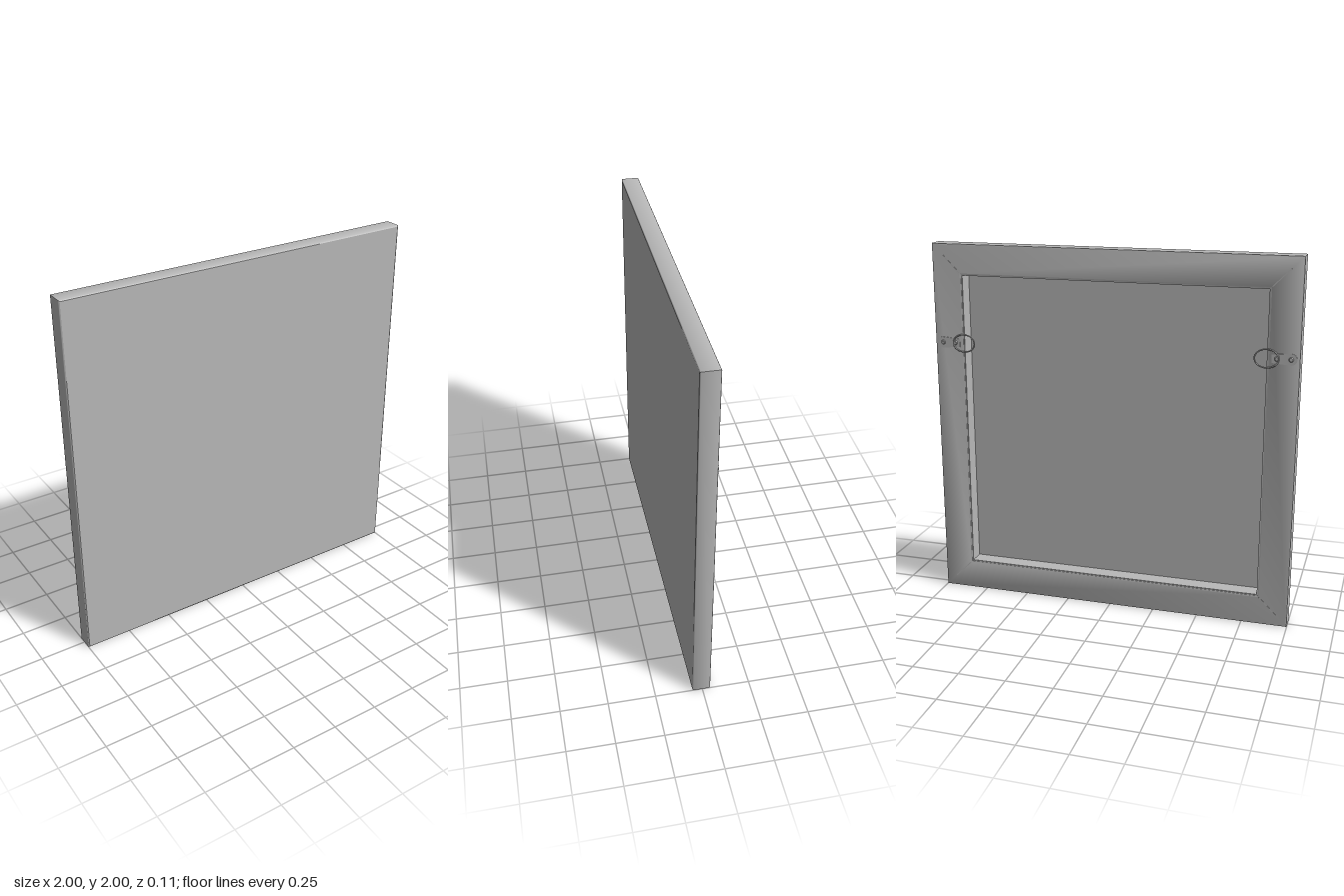
import * as THREE from 'three';
import { toCreasedNormals } from 'three/addons/utils/BufferGeometryUtils.js';

const BACK = -0.043;

// Sweep a (inset, z) profile around the square, with mitred corners
function mitredRing(profile) {
  const corners = [[1, 1], [-1, 1], [-1, -1], [1, -1]];
  const positions = [];
  const point = (c, [inset, z]) => [c[0] * (1 - inset), 1 + c[1] * (1 - inset), z];
  for (let k = 0; k < 4; k++) {
    const a = corners[k], b = corners[(k + 1) % 4];
    for (let i = 0; i < profile.length - 1; i++) {
      const p = profile[i], q = profile[i + 1];
      positions.push(...point(a, p), ...point(b, p), ...point(b, q));
      positions.push(...point(a, p), ...point(b, q), ...point(a, q));
    }
  }
  const geometry = new THREE.BufferGeometry();
  geometry.setAttribute('position', new THREE.Float32BufferAttribute(positions, 3));
  return toCreasedNormals(geometry, 0.6);
}

export function createModel() {
  const model = new THREE.Group();
  const grey = new THREE.MeshStandardMaterial({ color: 0xb9b9b9 });
  grey.name = 'plain grey';

  const add = (parent, name, geometry, x = 0, y = 0, z = 0) => {
    const mesh = new THREE.Mesh(geometry, grey);
    mesh.name = name;
    mesh.position.set(x, y, z);
    parent.add(mesh);
    return mesh;
  };

  // Stretcher bars with the cloth wrapped round their outer edges
  add(model, 'wrappedFrame', mitredRing([
    [0.17, 0.05], [0.17, -0.037], [0.164, -0.037], [0.164, -0.04], [0.158, BACK],
    [0.006, BACK], [0.002, -0.041], [0, -0.037],
    [0, 0.048], [0.002, 0.051], [0.006, 0.053],
  ]));

  // Stretched front cloth, also seen through the open back
  add(model, 'canvas', new THREE.BoxGeometry(1.988, 1.988, 0.004), 0, 1, 0.051);

  // Folded cloth seams along the mitres
  for (const sx of [-1, 1]) for (const sy of [-1, 1]) {
    const fold = add(model, 'cornerFold', new THREE.BoxGeometry(0.13, 0.005, 0.004),
      sx * 0.89, 1 + sy * 0.89, BACK);
    fold.rotation.z = sx * sy * Math.PI / 4;
  }

  // Hanger strap outline: wide at the ring end, rounded at the other
  const strap = new THREE.Shape();
  strap.moveTo(-0.055, -0.022);
  strap.lineTo(0.04, -0.03);
  strap.absarc(0.045, 0, 0.03, -Math.PI / 2, Math.PI / 2, false);
  strap.lineTo(-0.055, 0.022);
  strap.closePath();
  const strapGeometry = new THREE.ExtrudeGeometry(strap, { depth: 0.004, bevelEnabled: false, curveSegments: 10 });

  // Oval wire ring
  const ringPoints = [];
  for (let i = 0; i < 24; i++) {
    const t = i / 24 * Math.PI * 2;
    ringPoints.push(new THREE.Vector3(0.062 * Math.cos(t), 0.048 * Math.sin(t), 0));
  }
  const ringGeometry = new THREE.TubeGeometry(new THREE.CatmullRomCurve3(ringPoints, true), 48, 0.004, 8, true);

  const screwGeometry = new THREE.CylinderGeometry(0.009, 0.013, 0.004, 16).rotateX(-Math.PI / 2);

  // Two hangers on the side bars
  for (const [side, y] of [[1, 1.46], [-1, 1.48]]) {
    const hanger = new THREE.Group();
    hanger.name = side > 0 ? 'leftHanger' : 'rightHanger';
    hanger.position.set(side * 0.91, y, 0);
    if (side < 0) hanger.rotation.z = Math.PI;
    add(hanger, 'strap', strapGeometry, 0, 0, BACK - 0.004);
    add(hanger, 'ring', ringGeometry, -0.08, 0, BACK - 0.006);
    for (const x of [-0.028, 0.044]) {
      add(hanger, 'screw', screwGeometry, x, 0, BACK - 0.006);
      add(hanger, 'screwCross', new THREE.BoxGeometry(0.012, 0.003, 0.002), x, 0, BACK - 0.009);
      add(hanger, 'screwCross', new THREE.BoxGeometry(0.003, 0.012, 0.002), x, 0, BACK - 0.009);
    }
    model.add(hanger);
  }

  return model;
}
